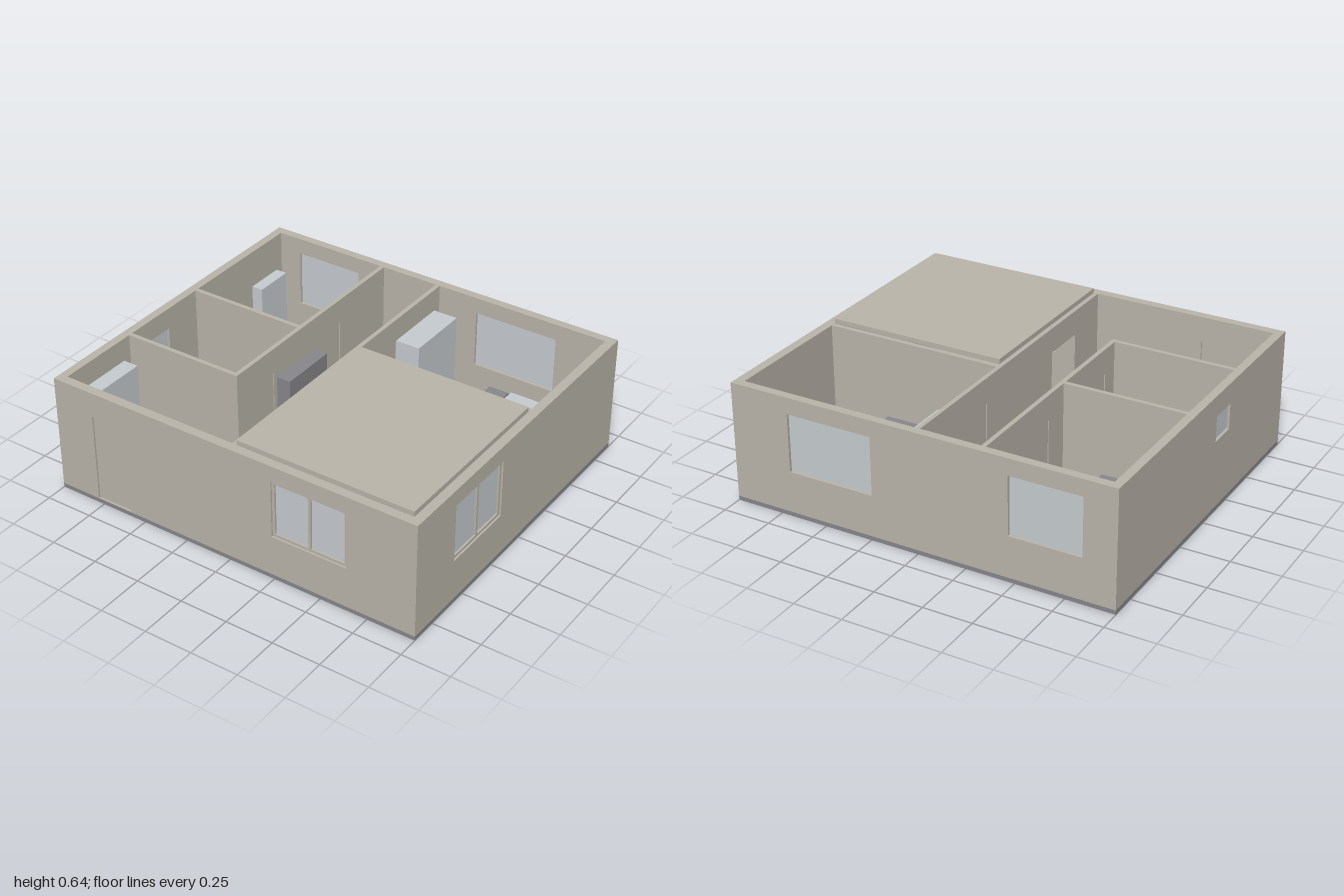
import * as THREE from 'three';

const FLOOR = 0.022, TOP = 0.62;

export function createModel() {
  const material = (name, color) => {
    const m = new THREE.MeshStandardMaterial({ color });
    m.name = name;
    return m;
  };
  const plaster = material('beige plaster', 0xb9b4a9);
  const grey = material('floor grey', 0x87868b);
  const pale = material('pale blue grey', 0xc5cbcf);

  const house = new THREE.Group();
  house.name = 'house';

  // Box given by its limits
  const box = (parent, name, mat, x0, x1, y0, y1, z0, z1) => {
    const mesh = new THREE.Mesh(new THREE.BoxGeometry(x1 - x0, y1 - y0, z1 - z0), mat);
    mesh.position.set((x0 + x1) / 2, (y0 + y1) / 2, (z0 + z1) / 2);
    mesh.name = name;
    parent.add(mesh);
  };

  // Two-leaf window with a frame, centred in the wall thickness
  const slidingWindow = (g, a, b, y0, y1, t) => {
    const f = 0.014, mid = (a + b) / 2, z0 = t / 2 - 0.014, z1 = t / 2 + 0.014;
    box(g, 'windowSill', plaster, a, b, y0, y0 + f, z0, z1);
    box(g, 'windowHead', plaster, a, b, y1 - f, y1, z0, z1);
    for (const c of [a + f / 2, mid, b - f / 2])
      box(g, 'windowPost', plaster, c - f / 2, c + f / 2, y0 + f, y1 - f, z0, z1);
    box(g, 'windowPane', pale, a + f, mid - f / 2, y0 + f, y1 - f, t / 2 - 0.004, t / 2 + 0.004);
    box(g, 'windowPane', pale, mid + f / 2, b - f, y0 + f, y1 - f, t / 2 - 0.004, t / 2 + 0.004);
  };

  // Wall from u0 to u1 with openings [kind, a, b, y0, y1]; 'z' walls run along z
  const wall = (name, axis, u0, u1, v0, v1, openings = []) => {
    const g = new THREE.Group(), t = v1 - v0;
    g.name = name;
    const shape = new THREE.Shape([[u0, FLOOR], [u1, FLOOR], [u1, TOP], [u0, TOP]]
      .map(p => new THREE.Vector2(...p)));
    for (const [kind, a, b, y0, y1] of openings) {
      shape.holes.push(new THREE.Path([[a, y0], [a, y1], [b, y1], [b, y0]]
        .map(p => new THREE.Vector2(...p))));
      if (kind === 'sliding') slidingWindow(g, a, b, y0, y1, t);
      if (kind === 'glass') box(g, 'windowPane', pale, a, b, y0, y1, t / 2 - 0.008, t / 2 + 0.008);
      if (kind === 'door') box(g, 'doorLeaf', plaster, a, b, y0, y1, t * 0.2, t * 0.8);
    }
    const mesh = new THREE.Mesh(
      new THREE.ExtrudeGeometry(shape, { depth: t, bevelEnabled: false }), plaster);
    mesh.name = name + 'Panel';
    g.add(mesh);
    if (axis === 'z') {
      g.rotation.y = -Math.PI / 2;
      g.position.x = v1;
    } else g.position.z = v0;
    house.add(g);
  };

  box(house, 'floorSlab', grey, -1, 1, 0, FLOOR, -0.89, 0.89);

  // Outer walls
  const D = FLOOR + 0.003;
  wall('frontWall', 'x', -1, 1, 0.843, 0.89,
    [['door', -0.78, -0.58, D, 0.49], ['sliding', 0.24, 0.64, 0.235, 0.535]]);
  wall('backWall', 'x', -1, 1, -0.89, -0.846,
    [['glass', 0.24, 0.69, 0.235, 0.535], ['glass', -0.835, -0.468, 0.235, 0.535]]);
  wall('leftWall', 'z', -0.846, 0.843, 0.953, 1, [['sliding', 0.18, 0.58, 0.235, 0.535]]);
  wall('rightWall', 'z', -0.846, 0.843, -1, -0.957, [['glass', 0.1, 0.25, 0.38, 0.51]]);

  // Room dividers
  wall('corridorWall', 'z', -0.846, 0.397, -0.334, -0.311,
    [['door', -0.45, -0.28, D, 0.49], ['door', 0.11, 0.28, D, 0.49]]);
  wall('middleWall', 'z', -0.846, 0.843, 0, 0.023,
    [['door', -0.45, -0.27, D, 0.49], ['opening', 0.36, 0.6, D, 0.49]]);
  wall('bedroomDivider', 'x', -0.957, -0.334, -0.141, -0.118);
  wall('bathroomDivider', 'x', -0.957, -0.334, 0.374, 0.397);
  wall('largeRoomDivider', 'x', 0.023, 0.953, -0.141, -0.115);

  // Ceiling over the closed room
  box(house, 'ceilingPanel', plaster, 0.024, 0.952, TOP, 0.645, -0.112, 0.842);

  // Furniture: name, material, x0, x1, top, z0, z1
  const furniture = [
    ['largeBed', pale, 0.465, 0.82, 0.15, -0.84, -0.405],
    ['largeWardrobe', pale, 0.023, 0.155, 0.5, -0.8, -0.45],
    ['nightstand', grey, 0.34, 0.45, 0.14, -0.84, -0.74],
    ['nightstand', grey, 0.83, 0.94, 0.14, -0.84, -0.74],
    ['dresser', grey, 0.372, 0.64, 0.2, -0.241, -0.141],
    ['smallBed', pale, -0.545, -0.345, 0.15, -0.846, -0.45],
    ['smallWardrobe', pale, -0.957, -0.895, 0.42, -0.8, -0.585],
    ['chair', pale, -0.72, -0.63, 0.13, -0.39, -0.3],
    ['desk', grey, -0.805, -0.54, 0.2, -0.275, -0.141],
    ['showerTray', grey, -0.545, -0.345, 0.04, -0.105, 0.095],
    ['washbasin', pale, -0.945, -0.865, 0.22, -0.105, 0.025],
    ['toilet', pale, -0.957, -0.83, 0.14, 0.275, 0.374],
    ['hallWardrobe', pale, -0.957, -0.875, 0.5, 0.445, 0.795],
    ['hallCabinet', grey, -0.311, -0.235, 0.45, -0.225, 0.085],
    ['shoeCabinet', grey, -0.57, -0.392, 0.2, 0.765, 0.843],
  ];
  for (const [name, mat, x0, x1, top, z0, z1] of furniture)
    box(house, name, mat, x0, x1, FLOOR, top, z0, z1);

  return house;
}
